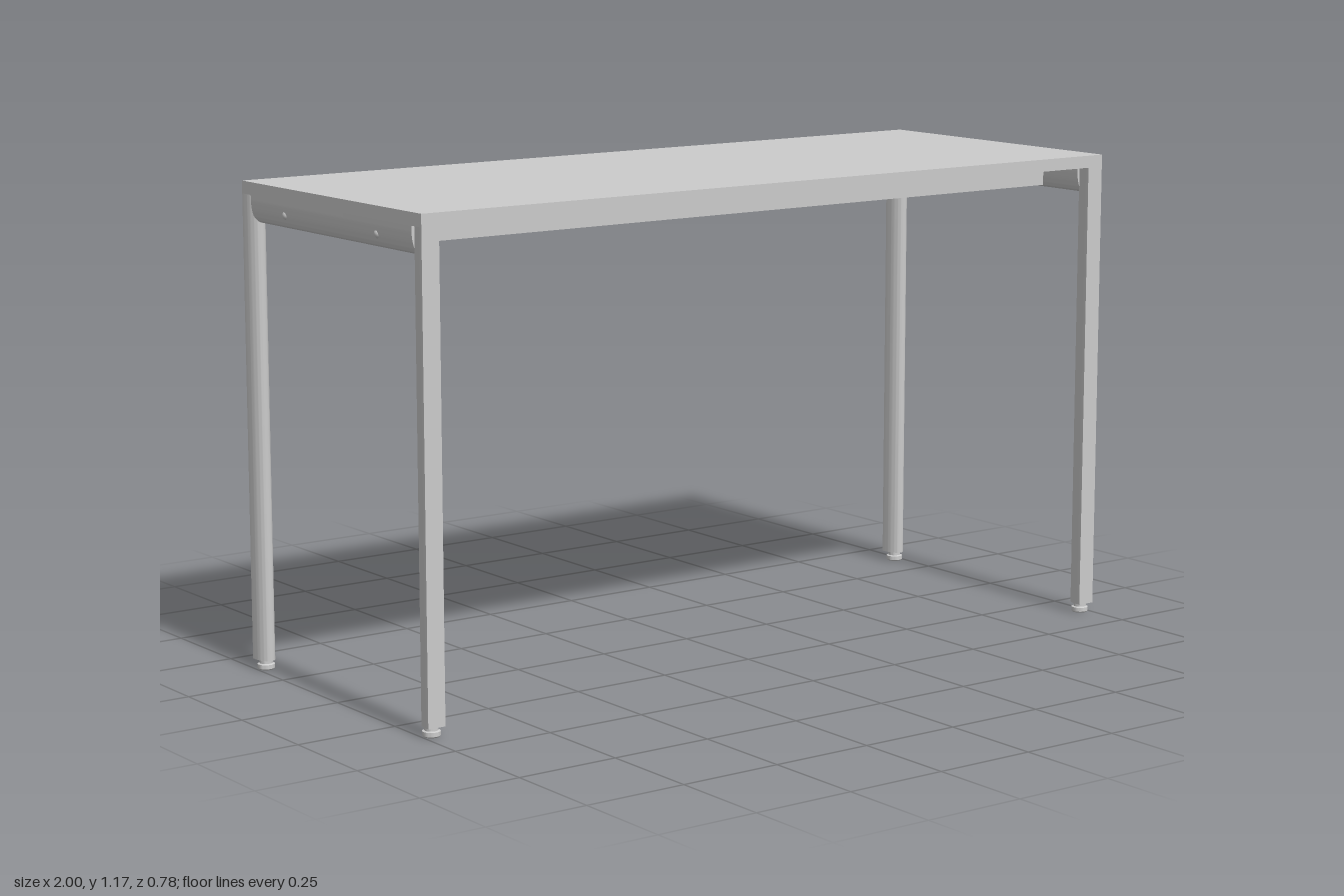
import * as THREE from 'three';
import { toCreasedNormals } from 'three/addons/utils/BufferGeometryUtils.js';

const W = 0.045, TOP = 1.14, HALF_Z = 0.39;
const material = new THREE.MeshStandardMaterial({ color: 0xcccccc });

function add(parent, name, geometry, x = 0, y = 0, z = 0) {
  const mesh = new THREE.Mesh(geometry, material);
  mesh.name = name;
  mesh.position.set(x, y, z);
  parent.add(mesh);
  return mesh;
}

// D-shaped tube: flat face at v = 0, rounded towards +v
function dTube(depth, straight, length) {
  const s = new THREE.Shape();
  s.moveTo(-W / 2, 0);
  s.lineTo(W / 2, 0);
  s.lineTo(W / 2, straight);
  s.absellipse(0, straight, W / 2, depth - straight, 0, Math.PI, false, 0);
  s.closePath();
  const g = new THREE.ExtrudeGeometry(s, { depth: length, bevelEnabled: false, curveSegments: 16 });
  return toCreasedNormals(g, 0.6);
}

export function createModel() {
  const table = new THREE.Group();
  table.name = 'table';

  // Top board
  add(table, 'tableTop', new THREE.BoxGeometry(2, 0.03, 2 * HALF_Z), 0, TOP + 0.015, 0);

  const legGeometry = dTube(0.05, 0.012, TOP - 0.024).rotateX(-Math.PI / 2);
  const endRailGeometry = dTube(0.065, 0.01, 0.7).translate(0, 0, -0.35).rotateZ(Math.PI);
  const footProfile = [[0, 0], [0.018, 0], [0.021, 0.003], [0.021, 0.013], [0.016, 0.015], [0.016, 0.026], [0, 0.026]]
    .map(([r, y]) => new THREE.Vector2(r, y));
  const footGeometry = toCreasedNormals(new THREE.LatheGeometry(footProfile, 20), 0.5);
  const boltGeometry = new THREE.SphereGeometry(0.012, 16, 12);

  for (const sx of [-1, 1]) {
    const frame = new THREE.Group();
    frame.name = sx > 0 ? 'leftEndFrame' : 'rightEndFrame';
    table.add(frame);
    const x = sx * (1 - W / 2);
    add(frame, 'endRail', endRailGeometry, x, TOP, 0);

    for (const sz of [-1, 1]) {
      // Legs turn their flat face outwards, front and back
      const leg = add(frame, sz > 0 ? 'frontLeg' : 'backLeg', legGeometry, x, 0.024, sz * HALF_Z);
      if (sz < 0) leg.rotation.y = Math.PI;
      add(frame, 'foot', footGeometry, x, 0, sz * 0.367);
      add(frame, 'bolt', boltGeometry, sx * 0.99, 1.107, sz * 0.2);
    }
  }

  // Long rails under the board
  for (const sz of [-1, 1]) {
    add(table, sz > 0 ? 'frontRail' : 'backRail', new THREE.BoxGeometry(1.91, 0.058, 0.05), 0, TOP - 0.029, sz * 0.2);
  }
  return table;
}
